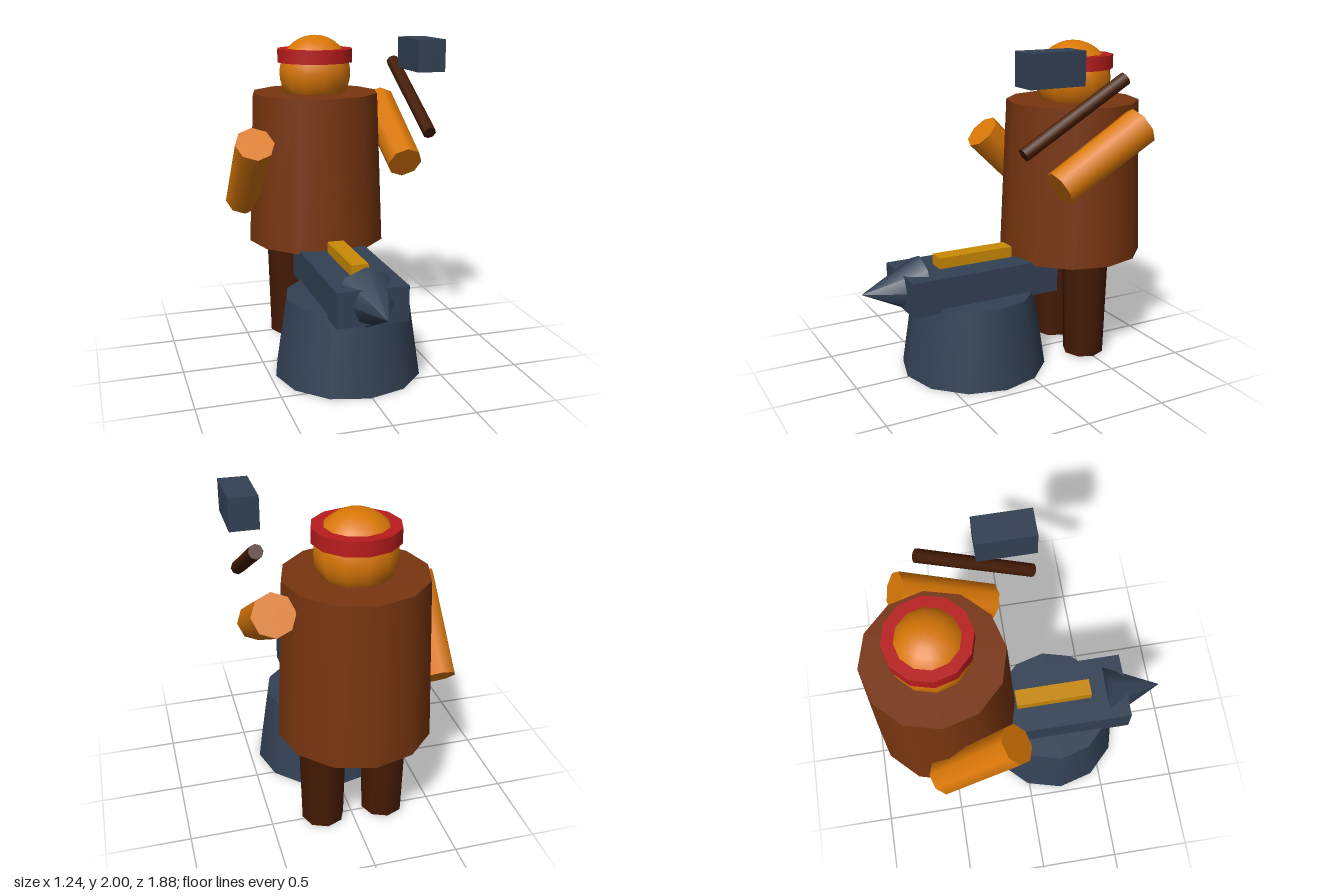
import * as THREE from 'three';

function mat(name, color) {
  const m = new THREE.MeshStandardMaterial({ color });
  m.name = name;
  return m;
}

export function createModel() {
  const group = new THREE.Group();
  group.name = 'blacksmithAtAnvil';

  const steel = mat('steel', 0x334155);
  const leather = mat('leather', 0x78350f);
  const darkBrown = mat('dark brown', 0x451a03);
  const skin = mat('skin', 0xd97706);
  const red = mat('red', 0xb91c1c);
  const gold = mat('gold', 0xca8a04);

  const cx = -0.012; // midline of the figure and anvil
  const bodyZ = -0.49;

  function add(name, geometry, material, x, y, z, rotX = 0) {
    const mesh = new THREE.Mesh(geometry, material);
    mesh.name = name;
    mesh.position.set(x, y, z);
    mesh.rotation.x = rotX;
    group.add(mesh);
    return mesh;
  }
  const cyl = (rTop, rBottom, h, sides) => new THREE.CylinderGeometry(rTop, rBottom, h, sides);
  const box = (w, h, d) => new THREE.BoxGeometry(w, h, d);

  // Anvil: tapered stand, block, horn and the glowing workpiece
  add('anvilBase', cyl(0.38, 0.453, 0.49, 12), steel, cx, 0.245, 0.215);
  add('anvilBlock', box(0.43, 0.213, 0.97), steel, cx, 0.572, 0.215);
  add('anvilHorn', new THREE.ConeGeometry(0.184, 0.37, 8), steel, cx, 0.583, 0.755, Math.PI / 2);
  add('workpiece', box(0.107, 0.085, 0.49), gold, cx, 0.704, 0.215);

  // Body
  add('torso', cyl(0.413, 0.453, 0.975, 12), leather, cx, 1.1475, bodyZ);
  add('head', new THREE.SphereGeometry(0.236, 12, 16), skin, cx, 1.764, bodyZ);
  add('headband', cyl(0.248, 0.248, 0.085, 12), red, cx, 1.872, bodyZ);

  // Legs
  for (const [name, side] of [['leftLeg', 1], ['rightLeg', -1]]) {
    add(name, cyl(0.15, 0.13, 0.78, 8), darkBrown, cx + side * 0.19, 0.4, bodyZ);
  }

  // Arms
  const arm = cyl(0.122, 0.112, 0.638, 8);
  add('leftArm', arm, skin, 0.478, 1.367, -0.382, -Math.PI / 3);
  add('rightArm', arm, skin, -0.499, 1.155, -0.325, Math.PI / 4);

  // Hammer
  add('hammerHandle', cyl(0.041, 0.041, 0.762, 8), darkBrown, 0.529, 1.631, -0.169, -Math.PI / 3);
  add('hammerHead', box(0.172, 0.192, 0.345), steel, 0.529, 1.904, -0.002);

  return group;
}
